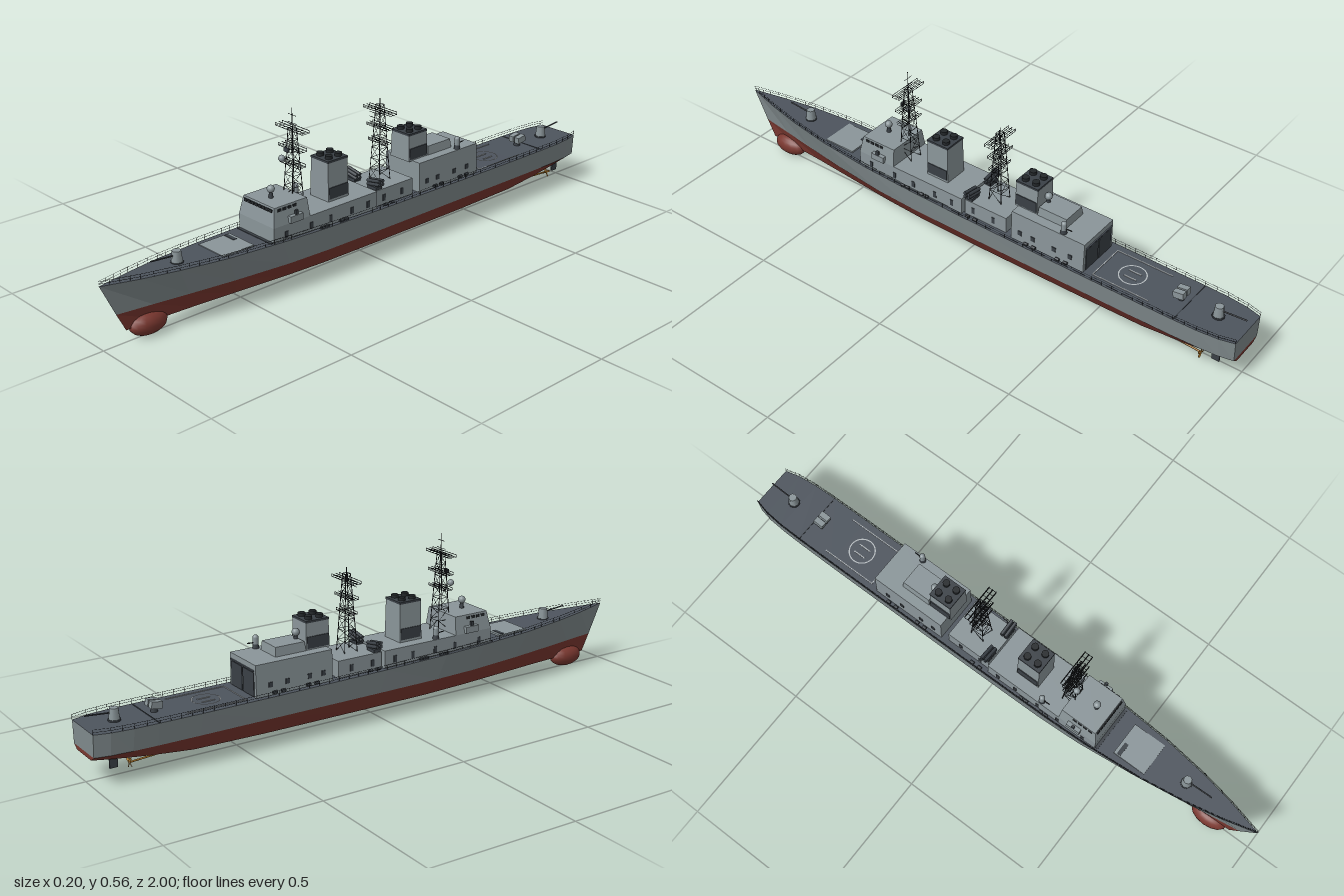
import * as THREE from 'three';

const mat = (name, color, side = THREE.FrontSide) => {
  const m = new THREE.MeshStandardMaterial({ color, side });
  m.name = name;
  return m;
};

export function createModel() {
  const M = {
    hull: mat('hull grey', 0x7f898b), house: mat('superstructure grey', 0x8a9599),
    deck: mat('deck grey', 0x4d545d), red: mat('antifouling red', 0x79372f),
    dark: mat('dark grey', 0x3a4046), black: mat('black', 0x23272a),
    gold: mat('bronze', 0xb57c2c), line: mat('deck marking', 0xb4babd),
  };
  const ship = new THREE.Group();
  ship.name = 'warship';
  const V = (x, y, z) => new THREE.Vector3(x, y, z);
  const group = (name, parent = ship) => {
    const g = new THREE.Group();
    g.name = name;
    parent.add(g);
    return g;
  };
  const add = (name, geo, m, x = 0, y = 0, z = 0, parent = ship) => {
    const mesh = new THREE.Mesh(geo, m);
    mesh.name = name;
    mesh.position.set(x, y, z);
    parent.add(mesh);
    return mesh;
  };
  // Box standing on y0, with its top scaled by sx and its front/back top edges moved in
  const block = (name, m, x, y0, z, w, h, d, sx = 1, front = 0, back = 0, parent = ship) => {
    const g = new THREE.BoxGeometry(w, h, d), p = g.attributes.position;
    for (let i = 0; i < p.count; i++) if (p.getY(i) > 0) {
      p.setX(i, p.getX(i) * sx);
      p.setZ(i, p.getZ(i) + (p.getZ(i) > 0 ? -front : back));
    }
    g.computeVertexNormals();
    return add(name, g, m, x, y0 + h / 2, z, parent);
  };
  const cyl = (name, m, x, y0, z, r0, r1, h, n = 10, parent = ship) =>
    add(name, new THREE.CylinderGeometry(r1, r0, h, n), m, x, y0 + h / 2, z, parent);
  const ball = (name, m, x, y, z, r, parent = ship) =>
    add(name, new THREE.SphereGeometry(r, 14, 10), m, x, y, z, parent);
  const bar = (name, m, a, b, r, parent = ship, n = 4) => {
    const dir = b.clone().sub(a), mid = a.clone().add(b).multiplyScalar(0.5);
    const mesh = add(name, new THREE.CylinderGeometry(r, r, dir.length(), n), m, mid.x, mid.y, mid.z, parent);
    mesh.quaternion.setFromUnitVectors(V(0, 1, 0), dir.normalize());
    return mesh;
  };

  // Hull stations: t, deck half width, waterline half width, bottom half width, bottom y, deck y
  const stations = [
    [0, .074, .07, .05, .086, .172], [.025, .087, .08, .055, .08, .172], [.06, .094, .085, .055, .07, .172],
    [.1, .096, .087, .055, .06, .172], [.17, .097, .088, .054, .046, .172], [.3, .097, .088, .052, .041, .173],
    [.5, .097, .088, .052, .04, .177], [.62, .096, .086, .05, .04, .182], [.7, .092, .079, .042, .04, .186],
    [.8, .078, .058, .026, .04, .191], [.88, .056, .036, .013, .04, .197], [.94, .032, .018, .006, .04, .201],
    [1, .001, .001, .001, .04, .206]];
  const rings = stations.map(([t, wd, ww, wb, yb, yd]) => {
    const zk = -1 + 1.92 * t, zw = -1 + 1.95 * t, zd = -1 + 2 * t;
    return [V(-wb, yb, zk), V(wb, yb, zk), V(ww, .1, zw), V(wd, yd, zd), V(-wd, yd, zd), V(-ww, .1, zw)];
  });
  const skin = (name, m, bands, transom) => {
    const pts = [];
    const quad = (a, b, c, d) => pts.push(a, b, c, a, c, d);
    for (let i = 0; i < rings.length - 1; i++) for (const j of bands) {
      const k = (j + 1) % 6;
      quad(rings[i][j], rings[i][k], rings[i + 1][k], rings[i + 1][j]);
    }
    if (transom) quad(...transom.map(j => rings[0][j]));
    const g = new THREE.BufferGeometry().setFromPoints(pts);
    g.computeVertexNormals();
    add(name, g, m);
  };
  skin('lowerHull', M.red, [0, 1, 5], [0, 5, 2, 1]);
  skin('upperHull', M.hull, [2, 4], [5, 4, 3, 2]);
  skin('mainDeck', M.deck, [3]);
  ball('sonarBulb', M.red, 0, .038, .842, 1).scale.set(.035, .036, .065);

  // Deck edge railings, following the hull edge
  const rails = group('railings');
  for (const j of [3, 4]) for (let i = 0; i < rings.length - 1; i++) {
    const a = rings[i][j], b = rings[i + 1][j], n = Math.max(1, Math.round(a.distanceTo(b) / .035));
    for (const h of [.008, .016]) bar('rail', M.black, a.clone().add(V(0, h, 0)), b.clone().add(V(0, h, 0)), .0006, rails);
    for (let k = 0; k < n; k++) {
      const p = a.clone().lerp(b, k / n);
      bar('stanchion', M.black, p, p.clone().add(V(0, .016, 0)), .0007, rails);
    }
  }

  // Superstructure
  block('forwardHouse', M.house, 0, .17, .215, .166, .066, .43);
  block('bridge', M.house, 0, .236, .357, .166, .06, .146, .88, .012, .004);
  block('midHouse', M.house, 0, .17, -.088, .146, .062, .164);
  block('hangar', M.house, 0, .168, -.333, .162, .11, .274, .97);
  block('hangarTopHouse', M.house, 0, .278, -.325, .09, .03, .11, .92, .003, .003);
  block('houseFrontStep', M.dark, 0, .185, .434, .16, .004, .012);

  // Bridge windows across the front and along the sides
  const windows = group('bridgeWindows');
  for (let i = 0; i < 8; i++) block('frontWindow', M.black, -.059 + i * .0169, .281, .4215, .013, .009, .005, 1, .0018, -.0018, windows);
  for (const s of [-1, 1]) {
    for (let i = 0; i < 4; i++) block('sideWindow', M.black, s * .0738, .281, .4 - i * .02, .005, .009, .014, 1, 0, 0, windows);
    block('bridgeWing', M.house, s * .086, .238, .345, .014, .022, .05);
    block('wingLamp', M.dark, s * .09, .262, .345, .008, .014, .01);
    // Doors and vents on the house sides
    for (const z of [.38, .28, .2, .11, .04]) block('door', M.dark, s * .0835, .192, z, .003, .022, .012);
    for (const z of [-.04, -.12]) block('door', M.dark, s * .0735, .19, z, .003, .022, .012);
    for (const z of [-.23, -.28, -.36, -.42]) block('sideVent', M.dark, s * .0807, .2, z, .004, .016, .014);
    // Life raft canisters at the deck edge
    for (const z of [.24, .22, .16, .14, -.03, -.06, -.26, -.29, -.38, -.41]) {
      const raft = cyl('lifeRaft', M.dark, s * .09, .178, z, .005, .005, .014, 8);
      raft.rotation.x = Math.PI / 2;
    }
    // Hangar doors
    block('hangarDoor', M.dark, s * .036, .175, -.4705, .066, .078, .004);
  }
  block('hangarLintel', M.deck, 0, .256, -.471, .14, .004, .006);

  // Funnels with side grilles and exhaust pipes
  const funnel = (z, y0, grilleY) => {
    const g = group('funnel'), h = .364 - y0;
    block('casing', M.house, 0, y0, z, .086, h, .086, .93, .002, .002, g);
    block('cap', M.dark, 0, .364, z, .082, .007, .084, 1, 0, 0, g);
    for (const s of [-1, 1]) {
      block('grille', M.dark, s * .0425, grilleY, z, .004, .038, .078, 1, 0, 0, g);
      for (const t of [-1, 1]) cyl('exhaustPipe', M.black, s * .02, .37, z + t * .02, .012, .012, .012, 12, g);
    }
  };
  funnel(.13, .234, .244);
  funnel(-.225, .276, .282);

  // Lattice masts with yard platforms
  const mast = (z, y0, yTop, yards, tip) => {
    const g = group('latticeMast'), n = 7;
    const corners = [[-1, -1], [1, -1], [1, 1], [-1, 1]];
    const at = (k, c) => {
      const f = k / n, w = .024 - .015 * f;
      return V(corners[c % 4][0] * w, y0 + (yTop - y0) * f, z + corners[c % 4][1] * w);
    };
    for (let c = 0; c < 4; c++) {
      bar('leg', M.black, at(0, c), at(n, c), .0016, g);
      for (let k = 0; k < n; k++) {
        bar('brace', M.black, at(k, c + k % 2), at(k + 1, c + 1 - k % 2), .0008, g);
        bar('ring', M.black, at(k + 1, c), at(k + 1, c + 1), .0009, g);
      }
    }
    for (const [y, w] of yards) {
      for (const dz of [-.014, 0, .014]) for (const dy of [-.004, .004])
        bar('yardRail', M.black, V(-w, y + dy, z + dz), V(w, y + dy, z + dz), .0011, g);
      for (let i = 0; i <= 8; i++) {
        const x = -w + i * w / 4;
        bar('rung', M.black, V(x, y - .004, z - .014), V(x, y - .004, z + .014), .0008, g);
        if (i % 8 === 0) for (const dz of [-.014, .014])
          bar('yardPost', M.black, V(x, y - .004, z + dz), V(x, y + .004, z + dz), .001, g);
      }
    }
    bar('topPole', M.black, V(0, yTop - .03, z), V(0, tip, z), .0014, g);
    return g;
  };
  const fore = mast(.28, .236, .5, [[.5, .063], [.438, .051], [.385, .045]], .565);
  for (const [y, w] of [[.542, .018], [.516, .022], [.509, .016]])
    bar('antenna', M.black, V(-w, y, .28), V(w, y, .28), .001, fore);
  block('radarPanel', M.dark, 0, .428, .304, .02, .014, .006, 1, 0, 0, fore);
  ball('mastDome', M.house, -.024, .4, .304, .011, fore);
  const aft = mast(-.09, .232, .488, [[.47, .063], [.415, .047], [.365, .04]], .508);
  for (const y of [.446, .462]) bar('radarFrame', M.black, V(-.026, y, -.07), V(.026, y, -.07), .001, aft);

  // Domes and close-in guns
  const dome = (x, y, z) => {
    const g = group('radarDome');
    cyl('pedestal', M.dark, x, y, z, .008, .005, .022, 8, g);
    ball('dome', M.house, x, y + .029, z, .0125, g);
  };
  dome(0, .296, .37);
  dome(0, .3, -.28);
  const closeGun = (x, y, z, dir) => {
    const g = group('closeInGun');
    cyl('base', M.dark, x, y, z, .011, .009, .014, 10, g);
    cyl('turret', M.house, x, y + .014, z, .0095, .0095, .02, 12, g);
    ball('turretTop', M.house, x, y + .034, z, .0095, g);
    bar('barrel', M.black, V(x, y + .018, z), V(x, y + .02, z + dir * .03), .002, g, 6);
  };
  closeGun(.067, .278, -.385, -1);
  closeGun(-.072, .236, .21, 1);

  // Main deck guns
  const deckGun = (y, z, dir) => {
    const g = group('deckGun');
    cyl('ring', M.dark, 0, y, z, .02, .02, .006, 12, g);
    cyl('turret', M.house, 0, y + .005, z, .018, .014, .036, 8, g);
    bar('barrel', M.dark, V(0, y + .026, z), V(0, y + .034, z + dir * .092), .0025, g, 8);
  };
  deckGun(.192, .73, 1);
  deckGun(.171, -.9, -1);

  // Foredeck missile hatch plate
  block('hatchPlate', M.house, 0, .186, .547, .118, .008, .118);
  block('hatchCover', M.dark, -.033, .1935, .505, .045, .002, .014);

  // Twin box launcher on the aft deck
  const launcher = group('aftLauncher');
  cyl('mount', M.dark, 0, .171, -.772, .012, .01, .018, 8, launcher);
  for (const s of [-1, 1]) block('box', M.house, s * .013, .187, -.772, .02, .022, .036, 1, 0, 0, launcher).rotation.x = .15;

  // Angled missile canisters amidships
  for (const s of [-1, 1]) {
    const g = group('missileCanisters');
    block('cradle', M.dark, s * .05, .23, -.02, .04, .012, .026, 1, 0, 0, g);
    for (const dy of [0, .012]) for (const dz of [-.007, .007])
      bar('canister', M.dark, V(s * .025, .243 + dy, -.02 + dz), V(s * .082, .253 + dy, -.02 + dz), .0058, g, 8);
  }

  // Landing pad markings
  const pad = group('landingPad');
  const stripe = (x, z, w, d) => block('stripe', M.line, x, .1725, z, w, .002, d, 1, 0, 0, pad);
  for (const s of [-1, 1]) {
    stripe(s * .071, -.6, .003, .2);
    stripe(s * .015, -.6, .004, .044);
  }
  stripe(0, -.5, .145, .003);
  const circle = add('circle', new THREE.RingGeometry(.042, .046, 40), M.line, 0, .1745, -.6, pad);
  circle.rotation.x = -Math.PI / 2;
  block('deckSeam', M.dark, 0, .172, -.8, .186, .0015, .003);

  // Shafts, propellers and rudders
  for (const s of [-1, 1]) {
    const g = group('propulsion'), x = s * .05, y = .053;
    bar('shaft', M.gold, V(x, .06, -.78), V(x, y, -.885), .003, g, 8);
    for (let i = 0; i < 4; i++) {
      const a = i * Math.PI / 2 + .5;
      const blade = add('blade', new THREE.BoxGeometry(.007, .017, .002), M.gold,
        x - Math.sin(a) * .009, y + Math.cos(a) * .009, -.882, g);
      blade.rotation.set(0, .5, a, 'ZYX');
    }
    block('rudder', M.dark, s * .045, .046, -.93, .005, .034, .026, 1, 0, 0, g);
  }
  return ship;
}
